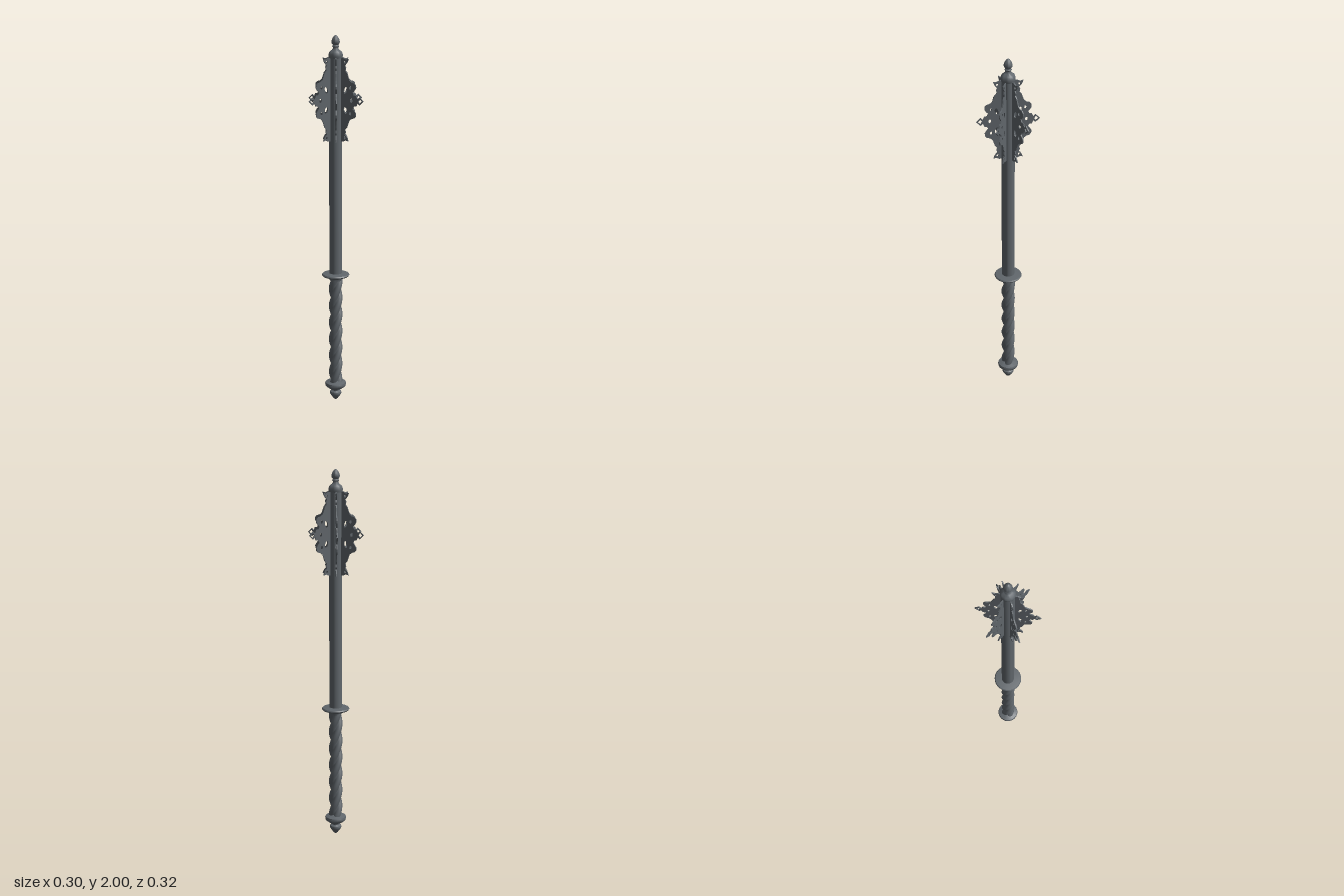
import * as THREE from 'three';
import { toCreasedNormals } from 'three/addons/utils/BufferGeometryUtils.js';

export function createModel() {
  const model = new THREE.Group();
  model.name = 'flangedMace';
  const steel = new THREE.MeshStandardMaterial({ color: 0x60666b });
  steel.name = 'dark steel';

  const add = (name, geometry) => {
    const mesh = new THREE.Mesh(geometry, steel);
    mesh.name = name;
    model.add(mesh);
    return mesh;
  };
  // Turned parts: [radius, height] pairs from bottom to top
  const turned = (name, profile, sides = 24) => add(name, toCreasedNormals(
    new THREE.LatheGeometry(profile.map(([r, y]) => new THREE.Vector2(r, y)), sides), 0.7));

  turned('pommel', [
    [0, 0.005], [0.012, 0.015], [0.026, 0.034], [0.032, 0.046], [0.03, 0.056], [0.02, 0.063],
    [0.022, 0.07], [0.04, 0.078], [0.055, 0.09], [0.058, 0.102], [0.055, 0.11], [0.036, 0.116], [0.02, 0.122], [0, 0.122],
  ]);
  turned('guard', [
    [0, 0.695], [0.032, 0.697], [0.035, 0.708], [0.05, 0.714], [0.07, 0.722],
    [0.074, 0.728], [0.07, 0.734], [0.035, 0.738], [0, 0.738],
  ]);
  turned('shaft', [[0, 0.73], [0.034, 0.73], [0.034, 1.888], [0, 1.888]]);
  turned('collar', [
    [0, 1.882], [0.034, 1.882], [0.037, 1.892], [0.037, 1.902], [0.032, 1.915], [0.02, 1.924],
    [0.014, 1.932], [0.014, 1.938], [0, 1.938],
  ]);
  turned('finial', [
    [0, 1.935], [0.013, 1.935], [0.018, 1.942], [0.014, 1.949], [0.02, 1.957],
    [0.022, 1.966], [0.018, 1.98], [0.009, 1.994], [0, 2],
  ], 20);

  // Grip: three rope strands twisted round the axis
  const strands = 3, pitch = 0.285, offset = 0.018, strandRadius = 0.019;
  const grip = new THREE.CylinderGeometry(1, 1, 0.59, 36, 96, true);
  const pos = grip.attributes.position;
  for (let i = 0; i < pos.count; i++) {
    const y = pos.getY(i) + 0.41;
    const angle = Math.atan2(pos.getX(i), pos.getZ(i));
    const turn = y / pitch * Math.PI * 2;
    const sector = Math.PI * 2 / strands;
    const raw = (angle - turn) / sector;
    const phi = (raw - Math.round(raw)) * sector;
    const s = offset * Math.sin(phi);
    const r = offset * Math.cos(phi) + Math.sqrt(strandRadius ** 2 - s * s);
    pos.setXYZ(i, r * Math.sin(angle), y, r * Math.cos(angle));
  }
  grip.computeVertexNormals();
  add('twistedGrip', grip);

  // Flange outline: upper half as [reach, height from centre], mirrored below
  const half = [
    [0.16, 0], [0.138, 0.021], [0.127, 0.01], [0.12, 0.027], [0.107, 0.028], [0.1, 0.042],
    [0.111, 0.054], [0.118, 0.066], [0.117, 0.08], [0.108, 0.09], [0.092, 0.094], [0.08, 0.104],
    [0.073, 0.122], [0.068, 0.138], [0.056, 0.152], [0.06, 0.166], [0.054, 0.178], [0.064, 0.188],
    [0.07, 0.198], [0.075, 0.212], [0.06, 0.208], [0.046, 0.215], [0.02, 0.215],
  ];
  const lower = half.slice(1).reverse().map(([r, y]) => [r, -y]);
  const outline = new THREE.Shape([...lower, ...half].map(([r, y]) => new THREE.Vector2(r, y)));

  // Pierced openings
  const oval = (x, y, rx, ry, tilt = 0) => {
    const hole = new THREE.Path();
    hole.absellipse(x, y, rx, ry, 0, Math.PI * 2, true, tilt);
    outline.holes.push(hole);
  };
  for (const s of [-1, 1]) {
    oval(0.058, s * 0.052, 0.009, 0.018, -s * 0.25);
    oval(0.086, s * 0.066, 0.006, 0.009);
    oval(0.055, s * 0.195, 0.005, 0.007);
  }
  oval(0.092, 0, 0.007, 0.011);
  outline.holes.push(new THREE.Path([[0.153, 0], [0.139, -0.013], [0.131, 0], [0.139, 0.013]]
    .map(([x, y]) => new THREE.Vector2(x, y))));

  // Six flanges round the head
  const plate = new THREE.ExtrudeGeometry(outline, { depth: 0.006, bevelEnabled: false, curveSegments: 6 });
  plate.translate(0, 0, -0.003);
  for (let i = 0; i < 6; i++) {
    const flange = add('flange' + (i + 1), plate);
    flange.position.y = 1.67;
    flange.rotation.y = -THREE.MathUtils.degToRad(22.4 + i * 60);
  }
  return model;
}
